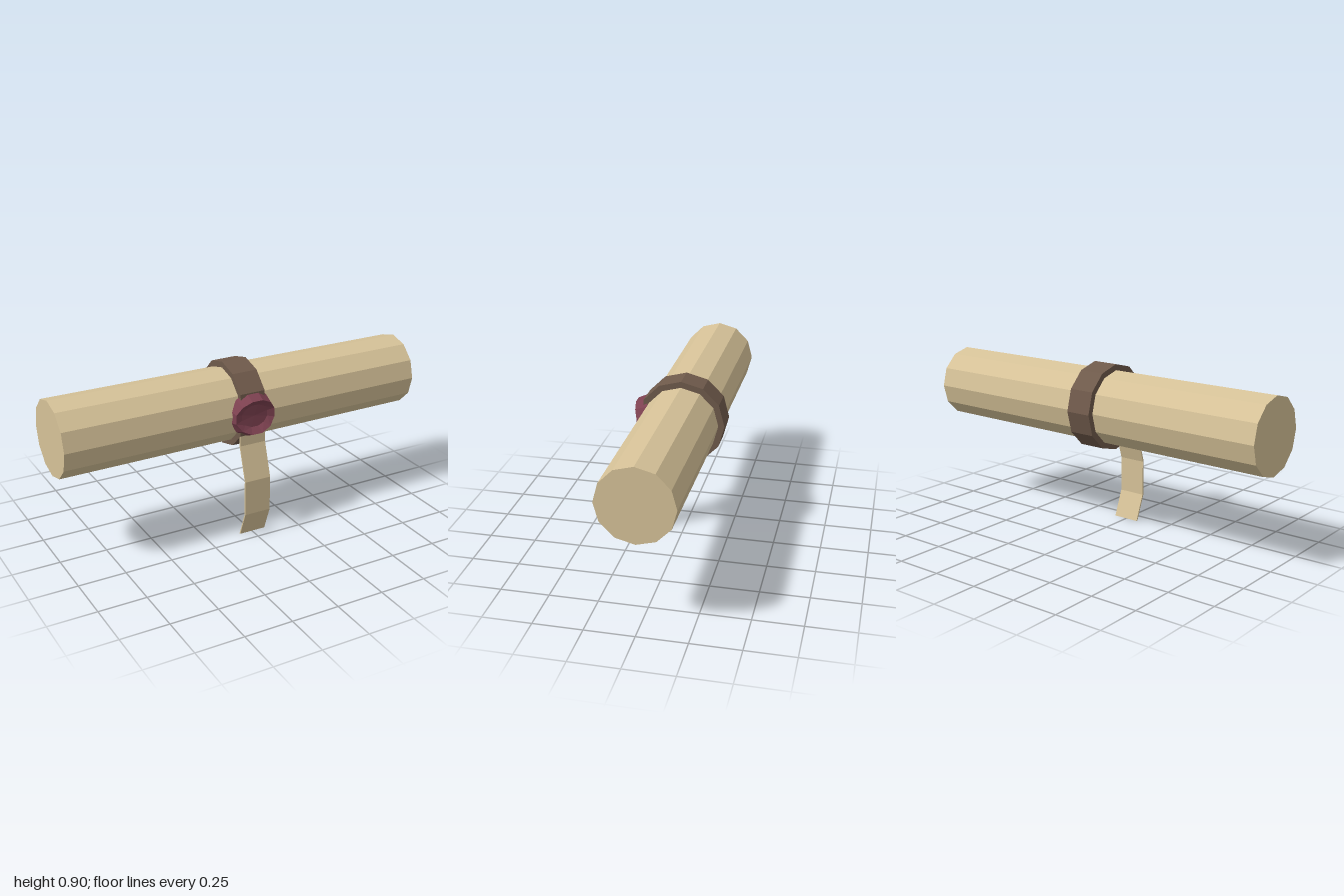
import * as THREE from 'three';

const mat = (color) => new THREE.MeshStandardMaterial({ color, flatShading: true, side: THREE.DoubleSide });
const CY = 0.675, CZ = -0.01, SIDES = 12;

// Extrude a (z, y) outline across x, between x0 and x1
function extrudeX(shape, x0, x1) {
  const g = new THREE.ExtrudeGeometry(shape, { depth: x1 - x0, bevelEnabled: false });
  g.rotateY(-Math.PI / 2);
  g.translate(x1, 0, 0);
  return g;
}

// Twelve-sided outline in (z, y), flattened at the front where the seal sits
function bandOutline(r, frontZ) {
  return Array.from({ length: SIDES }, (_, i) => {
    const a = (i / SIDES) * Math.PI * 2;
    return new THREE.Vector2(i === 0 ? frontZ : CZ + r * Math.cos(a), CY + r * Math.sin(a));
  });
}

// Wax seal: loops from the back edge to a dished face, rim raised above and below
function sealGeometry() {
  const loops = [
    { rx: 0.12, ry: 0.124, z: 0.165, lift: 0 },
    { rx: 0.113, ry: 0.092, z: 0.211, lift: 0.024 },
    { rx: 0.075, ry: 0.06, z: 0.203, lift: 0.004 },
  ];
  const pos = [], idx = [];
  for (const { rx, ry, z, lift } of loops) {
    for (let i = 0; i < SIDES; i++) {
      const a = ((i + 0.5) / SIDES) * Math.PI * 2;
      const s = Math.sin(a);
      pos.push(rx * Math.cos(a), 0.67 + ry * s, z + lift * Math.min(1, s * s * 1.3));
    }
  }
  const back = pos.length / 3;
  pos.push(0, 0.67, 0.165, 0, 0.67, 0.203);
  for (let i = 0; i < SIDES; i++) {
    const j = (i + 1) % SIDES;
    for (let k = 0; k < loops.length - 1; k++) {
      const a = k * SIDES + i, b = k * SIDES + j;
      idx.push(a, b, b + SIDES, a, b + SIDES, a + SIDES);
    }
    idx.push(back, j, i);
    const o = (loops.length - 1) * SIDES;
    idx.push(back + 1, o + i, o + j);
  }
  const g = new THREE.BufferGeometry();
  g.setAttribute('position', new THREE.Float32BufferAttribute(pos, 3));
  g.setIndex(idx);
  g.computeVertexNormals();
  return g;
}

export function createModel() {
  const model = new THREE.Group();
  const paper = mat(0xd6c298), leather = mat(0x6f5a4b), wax = mat(0x7d4150);
  const add = (name, geometry, material) => {
    const mesh = new THREE.Mesh(geometry, material);
    mesh.name = name;
    model.add(mesh);
  };

  // Rolled sheet, slightly wider at its right end
  const roll = new THREE.CylinderGeometry(0.197, 0.19, 2, SIDES);
  roll.rotateZ(Math.PI / 2);
  roll.translate(0, CY, CZ);
  add('roll', roll, paper);

  // Band round the middle
  const band = new THREE.Shape(bandOutline(0.225, 0.193));
  band.holes.push(new THREE.Path(bandOutline(0.19, 0.17).reverse()));
  add('band', extrudeX(band, -0.07, 0.067), leather);

  // Hanging strip, bent in three places
  const path = [[0.178, 0.66], [0.178, 0.505], [0.234, 0.325], [0.234, 0.137], [0.181, 0]];
  const front = path.map(([z, y]) => new THREE.Vector2(z + 0.004, y));
  const rear = path.map(([z, y]) => new THREE.Vector2(z - 0.004, y)).reverse();
  add('hangingStrip', extrudeX(new THREE.Shape([...front, ...rear]), -0.07, 0.075), paper);

  add('seal', sealGeometry(), wax);
  return model;
}
